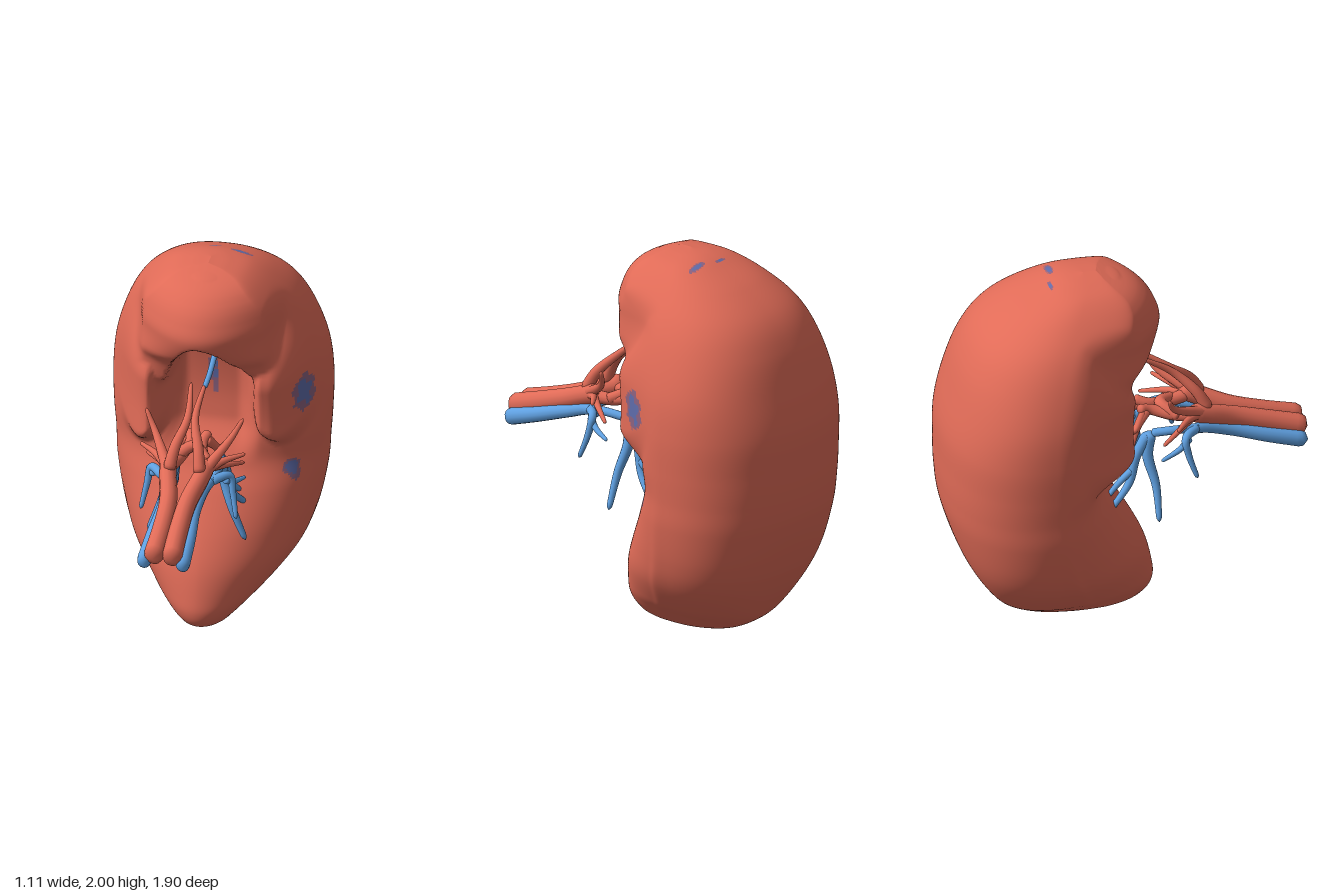
import * as THREE from 'three';
import { mergeVertices } from 'three/addons/utils/BufferGeometryUtils.js';

const red = new THREE.MeshStandardMaterial({ color: 0xe06b57 });
red.name = 'tissue red';
const blue = new THREE.MeshStandardMaterial({ color: 0x60a1e2 });
blue.name = 'vein blue';
const mauve = new THREE.MeshStandardMaterial({ color: 0x8c6280 });
mauve.name = 'surface vein mauve';
const indigo = new THREE.MeshStandardMaterial({ color: 0x5f6cab });
indigo.name = 'surface vein indigo';

const step = THREE.MathUtils.smoothstep;
const lerp = THREE.MathUtils.lerp;
const power = (v, e) => Math.sign(v) * Math.abs(v) ** e;

// Cross-sections: height, half width, back z, front z, z of widest point, front roundness
const sections = [
  [0.0, 0.0, -0.12, -0.12, -0.12, 1],
  [0.025, 0.12, -0.36, 0.07, -0.15, 1],
  [0.06, 0.17, -0.53, 0.13, -0.2, 1],
  [0.12, 0.235, -0.64, 0.155, -0.26, 1],
  [0.2, 0.32, -0.71, 0.15, -0.34, 1.05],
  [0.35, 0.43, -0.8, 0.115, -0.4, 1.1],
  [0.5, 0.49, -0.865, 0.05, -0.45, 1.1],
  [0.7, 0.53, -0.925, -0.06, -0.47, 1.05],
  [0.85, 0.54, -0.945, -0.14, -0.48, 0.95],
  [1.0, 0.55, -0.95, -0.155, -0.48, 0.85],
  [1.2, 0.555, -0.945, -0.17, -0.48, 0.85],
  [1.4, 0.535, -0.9, -0.15, -0.47, 0.85],
  [1.6, 0.475, -0.835, -0.1, -0.43, 0.9],
  [1.75, 0.4, -0.74, -0.05, -0.38, 0.95],
  [1.87, 0.3, -0.58, 0.0, -0.3, 1],
  [1.95, 0.2, -0.41, 0.0, -0.24, 1],
  [1.985, 0.1, -0.31, -0.09, -0.2, 1],
  [2.0, 0.0, -0.2, -0.2, -0.2, 1],
];
const spline = (cols) => new THREE.CatmullRomCurve3(
  sections.map((s) => new THREE.Vector3(...cols.map((c) => s[c]))), false, 'catmullrom', 0.5);
const outline = spline([0, 1, 2]);
const shape = spline([3, 4, 5]);

// Crest of the overhanging upper lobe: z against height
const crestPoints = new THREE.SplineCurve([[1.2, -0.1], [1.35, -0.03], [1.48, 0.02], [1.57, 0.12],
  [1.69, 0.185], [1.79, 0.165], [1.88, 0.11], [1.95, 0.01], [2.02, -0.2]]
  .map((p) => new THREE.Vector2(...p))).getPoints(1500);
function crestZ(y) {
  const p = crestPoints.find((q) => q.x >= y);
  return p ? p.y : -0.2;
}

// Raises the lips and upper lobe and hollows the notch on the front
function sculptFront(x, y, z, facing) {
  const ax = Math.abs(x);
  const front = step(facing, 0, 0.55);
  const notch = (1 - step(ax, 0.12, 0.26)) * step(y, 0.84, 1.06) * (1 - step(y, 1.52, 1.68));
  z -= 0.09 * notch * front;
  const bottom = (x < 0 ? 0.87 : 0.94) + 6 * (ax - 0.37) ** 2;
  const outer = x < 0 ? 0.29 : 0.33;
  const lip = step(ax, 0.19, 0.29) * (1 - step(ax, outer, outer + 0.24))
    * step(y, bottom, bottom + 0.16) * (1 - step(y, 1.35, 1.7));
  z += 0.185 * lip * front;
  const arch = x < 0 ? Math.max(1.6 - 7 * x * x, 1.3) : Math.max(1.6 - 4 * x * x, 1.4);
  const lobe = (1 - step(ax, 0.3, 0.38)) * step(y, arch - 0.04, arch + 0.07);
  const spread = 0.18 * (1 - step(y, 1.4, 1.7));
  const lobeZ = crestZ(y) - 2 * Math.max(0, ax - spread) ** 2;
  return lerp(z, Math.max(z, lobeZ), lobe * front);
}

// Patches where veins show on the surface: centre and radii
const patches = [
  [0.47, 1.26, -0.22, 0.12, 0.1, 0.085], [0.4, 0.8, -0.24, 0.1, 0.06, 0.03],
  [0.015, 1.53, -0.2, 0.095, 0.11, 0.14], [-0.01, 1.3, -0.25, 0.018, 0.14, 0.1],
  [0.13, 1.94, -0.35, 0.06, 0.06, 0.02], [-0.02, 1.96, -0.38, 0.04, 0.05, 0.012],
];
// 0 outside, 1 on the rim of a patch, 2 in its middle
function patchTone(x, y, z) {
  const d = Math.min(...patches.map(([a, b, c, p, q, r]) =>
    ((x - a) / p) ** 2 + ((y - b) / q) ** 2 + ((z - c) / r) ** 2)) - 0.2 * Math.sin(70 * y + 50 * z);
  return d < 0.45 ? 2 : d < 1 ? 1 : 0;
}

function bodyGeometry() {
  const rows = 200, cols = 240, pos = [], faces = [[], [], []];
  for (let j = 0; j <= rows; j++) {
    const o = outline.getPoint(j / rows), s = shape.getPoint(j / rows);
    const back = lerp(0.76, 0.88, step(o.x, 0.1, 0.8));
    for (let i = 0; i < cols; i++) {
      const t = (i / cols) * Math.PI * 2, sn = Math.sin(t), cs = Math.cos(t);
      const e = lerp(back, s.z, step(cs, 0, 0.3));
      const x = Math.max(0, o.y) * power(sn, e);
      let z = s.y + (cs > 0 ? s.x - s.y : s.y - o.z) * power(cs, e);
      if (cs > 0) z = sculptFront(x, o.x, z, cs);
      pos.push(x, o.x, z);
    }
  }
  for (let j = 0; j < rows; j++) for (let i = 0; i < cols; i++) {
    const k = (i + 1) % cols;
    const a = j * cols + i, b = j * cols + k, c = b + cols, d = a + cols;
    faces[patchTone(pos[a * 3], pos[a * 3 + 1], pos[a * 3 + 2])].push(a, b, c, a, c, d);
  }
  const g = new THREE.BufferGeometry();
  g.setAttribute('position', new THREE.Float32BufferAttribute(pos, 3));
  g.setIndex(faces.flat());
  let start = 0;
  faces.forEach((list, m) => {
    g.addGroup(start, list.length, m);
    start += list.length;
  });
  g.computeVertexNormals();
  return g;
}

// Tapered tube with closed ends; tall stretches it upward
function vessel(name, material, points, r0, r1, tall = 1) {
  const n = 30, sides = 12;
  const curve = new THREE.CatmullRomCurve3(points.map((p) => new THREE.Vector3(...p)));
  let g = new THREE.TubeGeometry(curve, n, 1, sides, false);
  const p = g.attributes.position, v = new THREE.Vector3();
  for (let i = 0; i <= n; i++) {
    const c = curve.getPointAt(i / n);
    const end = i === 0 || i === n ? 0 : i === 1 || i === n - 1 ? 0.85 : 1;
    const r = lerp(r0, r1, i / n) * end;
    for (let k = 0; k <= sides; k++) {
      const q = i * (sides + 1) + k;
      v.fromBufferAttribute(p, q).sub(c).multiplyScalar(r);
      v.y *= tall;
      v.add(c);
      p.setXYZ(q, v.x, v.y, v.z);
    }
  }
  g.deleteAttribute('uv');
  g.deleteAttribute('normal');
  g = mergeVertices(g, 1e-5);
  g.computeVertexNormals();
  const mesh = new THREE.Mesh(g, material);
  mesh.name = name;
  return mesh;
}

export function createModel() {
  const model = new THREE.Group();
  model.name = 'kidney';
  const body = new THREE.Mesh(bodyGeometry(), [red, mauve, indigo]);
  body.name = 'body';
  model.add(body);

  // Paired vessels
  for (const s of [1, -1]) {
    const side = new THREE.Group();
    side.name = s > 0 ? 'leftVessels' : 'rightVessels';
    const add = (name, mat, pts, ...radii) =>
      side.add(vessel(name, mat, pts.map(([x, y, z]) => [x * s, y, z]), ...radii));
    // Arteries
    add('arteryTrunk', red, [[0.048, 0.885, 0.95], [0.043, 0.95, 0.75], [0.05, 1.015, 0.57], [0.085, 1.08, 0.42], [0.105, 1.12, 0.32]], 0.052, 0.042, 1.2);
    add('arteryUpperBranch', red, [[0.08, 1.09, 0.42], [0.13, 1.14, 0.33], [0.2, 1.22, 0.22], [0.25, 1.31, 0.18]], 0.034, 0.01);
    add('arteryOuterBranch', red, [[0.1, 1.1, 0.38], [0.17, 1.12, 0.3], [0.27, 1.13, 0.22]], 0.026, 0.009);
    add('arteryLowerBranch', red, [[0.1, 1.1, 0.36], [0.17, 1.08, 0.27], [0.25, 1.04, 0.15]], 0.022, 0.009);
    add('arteryPoleBranch', red, [[0.08, 1.1, 0.43], [0.06, 1.21, 0.37], [0.02, 1.32, 0.26], [0.035, 1.44, 0.1]], 0.034, 0.01);
    add('arteryInnerBranch', red, [[0.09, 1.09, 0.36], [0.06, 1.09, 0.25], [0.03, 1.12, 0.14], [0.05, 1.15, 0.07]], 0.035, 0.024);
    add('arteryInnerTip', red, [[0.04, 1.13, 0.12], [0.08, 1.06, 0.06], [0.12, 0.96, 0.02]], 0.028, 0.01);
    add('arteryBackTip', red, [[0.05, 1.13, 0.1], [0.1, 1.05, 0.04], [0.13, 1.07, -0.01]], 0.02, 0.009);
    // Veins
    add('veinTrunk', blue, [[0.1, 0.84, 0.94], [0.095, 0.9, 0.74], [0.085, 0.965, 0.54], [0.11, 1.02, 0.38], [0.15, 1.03, 0.28]], 0.038, 0.022, 1.2);
    add('veinOuterBranch', blue, [[0.12, 1.03, 0.36], [0.2, 1.03, 0.28], [0.22, 0.94, 0.29], [0.245, 0.81, 0.33]], 0.026, 0.011);
    add('veinSideBranch', blue, [[0.18, 1.02, 0.31], [0.21, 0.98, 0.25], [0.25, 0.95, 0.14]], 0.02, 0.009);
    add('veinInnerLink', blue, [[0.12, 1.03, 0.37], [0.14, 1.05, 0.24], [0.12, 1.04, 0.12]], 0.022, 0.022);
    add('veinLongBranch', blue, [[0.11, 1.05, 0.12], [0.13, 0.92, 0.1], [0.18, 0.76, 0.13], [0.25, 0.58, 0.13]], 0.034, 0.014);
    add('veinBackBranch', blue, [[0.11, 1.04, 0.11], [0.13, 0.92, 0.04], [0.15, 0.78, 0.0], [0.2, 0.65, -0.12]], 0.03, 0.014);
    add('veinBackTip', blue, [[0.14, 0.85, 0.02], [0.15, 0.78, -0.06], [0.17, 0.71, -0.13]], 0.02, 0.012);
    model.add(side);
  }
  // Single vessels on the middle line
  model.add(vessel('arteryBridge', red, [[-0.09, 1.09, 0.28], [0, 1.13, 0.2], [0.09, 1.09, 0.28]], 0.03, 0.03));
  model.add(vessel('veinPoleTip', blue, [[0.035, 1.42, 0.12], [0.05, 1.48, 0.05], [0.06, 1.6, -0.12]], 0.014, 0.015));
  return model;
}
